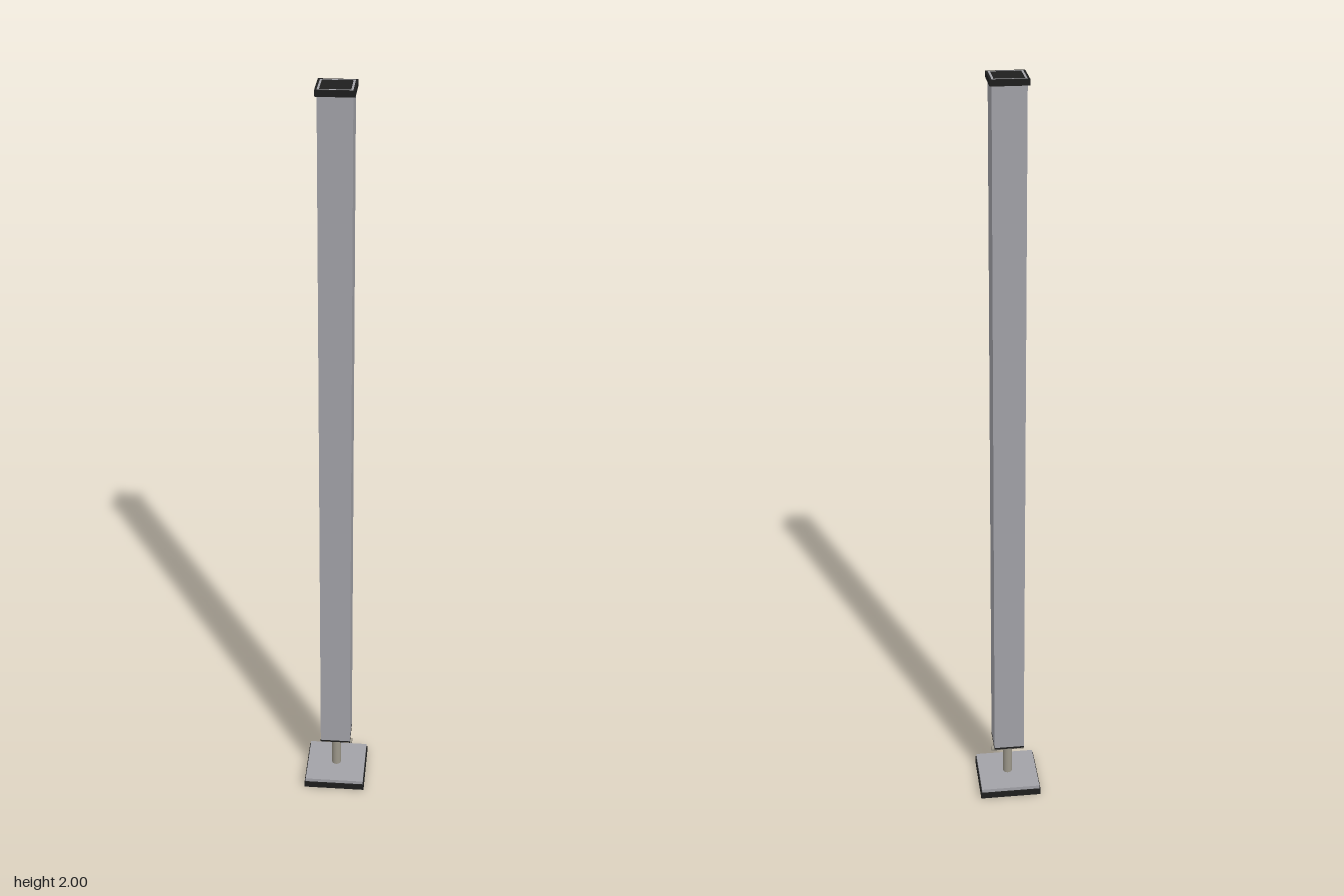
import * as THREE from 'three';

export function createModel() {
  const model = new THREE.Group();
  const mat = (name, color) => {
    const m = new THREE.MeshStandardMaterial({ color });
    m.name = name;
    return m;
  };
  const aluminium = mat('aluminium grey', 0xa2a2a8);
  const rubber = mat('black rubber', 0x1e1e1e);
  const steel = mat('warm steel', 0x9c978a);

  const add = (name, geometry, material, y) => {
    const mesh = new THREE.Mesh(geometry, material);
    mesh.name = name;
    mesh.position.y = y;
    model.add(mesh);
    return mesh;
  };
  // Solid square slab from y0 to y1
  const slab = (name, half, y0, y1, material) =>
    add(name, new THREE.BoxGeometry(half * 2, y1 - y0, half * 2), material, (y0 + y1) / 2);

  // Square tube from y0 to y1
  const squareTube = (name, outer, inner, y0, y1, material) => {
    const square = (C, h) => new C([[-h, -h], [h, -h], [h, h], [-h, h]].map(p => new THREE.Vector2(...p)));
    const shape = square(THREE.Shape, outer);
    shape.holes.push(square(THREE.Path, inner));
    const geometry = new THREE.ExtrudeGeometry(shape, { depth: y1 - y0, bevelEnabled: false });
    geometry.rotateX(-Math.PI / 2);
    return add(name, geometry, material, y0);
  };

  // Foot: rubber pad under a metal plate
  slab('footPad', 0.084, 0, 0.018, rubber);
  slab('footPlate', 0.081, 0.018, 0.028, aluminium);

  // Adjusting screw with its crossbar handle
  add('adjustingScrew', new THREE.CylinderGeometry(0.0125, 0.0125, 0.117, 24), steel, 0.0865);
  const bar = add('crossbarHandle', new THREE.CylinderGeometry(0.007, 0.007, 0.09, 16), steel, 0.108);
  bar.rotation.z = Math.PI / 2;

  // Hollow post with end plugs
  squareTube('post', 0.041, 0.036, 0.139, 2, aluminium);
  slab('bottomPlug', 0.0415, 0.134, 0.139, rubber);
  squareTube('topCapCollar', 0.046, 0.041, 1.985, 2, rubber);
  slab('topCapPlug', 0.036, 1.985, 2, rubber);

  return model;
}
